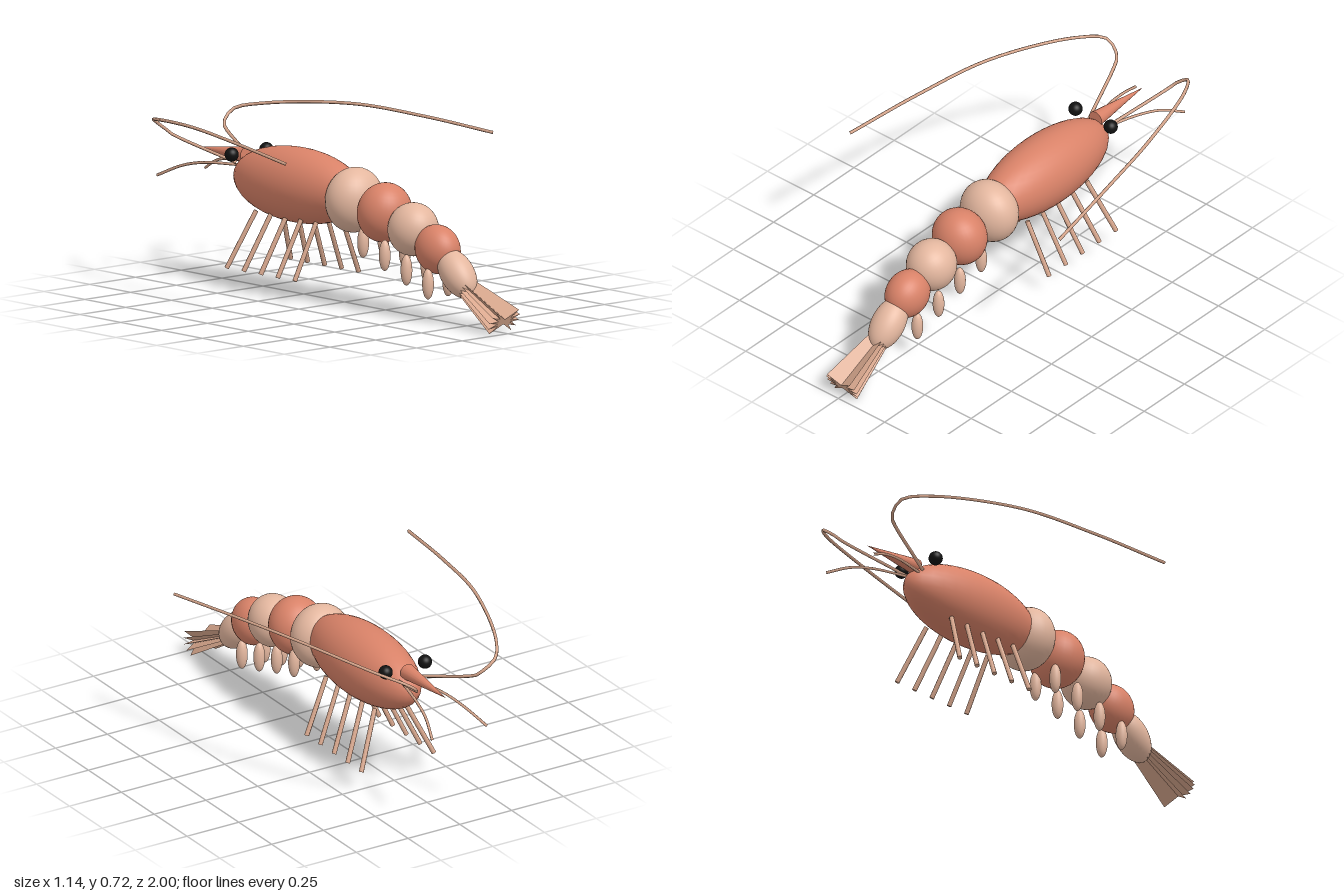
import * as THREE from 'three';

const mat = (color) => new THREE.MeshStandardMaterial({ color });
const coral = mat(0xd98268);
const pale = mat(0xe4b79f);
const limb = mat(0xd9a88e);
const black = mat(0x111111);
const fanMat = mat(0xd9a88e);
fanMat.flatShading = true;

const V = (p) => new THREE.Vector3(...p);

export function createModel() {
  const model = new THREE.Group();

  const add = (name, geometry, material, position = [0, 0, 0]) => {
    const mesh = new THREE.Mesh(geometry, material);
    mesh.name = name;
    mesh.position.set(...position);
    model.add(mesh);
    return mesh;
  };

  const ellipsoid = (name, material, position, radii, tilt = 0) => {
    const mesh = add(name, new THREE.SphereGeometry(1, 32, 20), material, position);
    mesh.scale.set(...radii);
    mesh.rotation.x = tilt;
    return mesh;
  };

  // Straight round rod between two points
  const rod = (name, from, to, r0, r1, material, sides = 8) => {
    const a = V(from), b = V(to), dir = b.clone().sub(a);
    const mesh = add(name, new THREE.CylinderGeometry(r1, r0, dir.length(), sides), material,
      a.clone().add(b).multiplyScalar(0.5).toArray());
    mesh.quaternion.setFromUnitVectors(new THREE.Vector3(0, 1, 0), dir.normalize());
    return mesh;
  };

  // Feeler along a curve, mirrored by side
  const feeler = (name, points, side, radius, segments) => {
    const curve = new THREE.CatmullRomCurve3(points.map(([x, y, z]) => new THREE.Vector3(x * side, y, z)), false, 'centripetal');
    add(name, new THREE.TubeGeometry(curve, segments, radius, 6), limb);
  };

  // Head shell and pointed beak
  ellipsoid('carapace', coral, [0, 0.457, -0.28], [0.14, 0.155, 0.37]);
  rod('rostrum', [0, 0.538, -0.6], [0, 0.535, -0.895], 0.034, 0, coral, 16);

  // Abdomen segments: z, y, half width, half height, half length, tilt
  [
    [0.06, 0.44, 0.13, 0.135, 0.108, 0.05],
    [0.245, 0.412, 0.117, 0.124, 0.11, 0.17],
    [0.42, 0.365, 0.103, 0.111, 0.108, 0.33],
    [0.57, 0.302, 0.086, 0.1, 0.105, 0.52],
    [0.69, 0.217, 0.07, 0.07, 0.117, 0.8],
  ].forEach(([z, y, rx, ry, rz, tilt], i) =>
    ellipsoid(`abdomenSegment${i + 1}`, i % 2 ? coral : pale, [0, y, z], [rx, ry, rz], tilt));

  // Tail fan: flat blades rolled around one sloping axis
  const tailFan = new THREE.Group();
  tailFan.name = 'tailFan';
  tailFan.position.set(0, 0.113, 0.858);
  tailFan.rotation.x = 0.455;
  for (let i = -2; i <= 2; i++) {
    const geometry = new THREE.CylinderGeometry(0.043, 0.08, 0.265, 4).rotateX(-Math.PI / 2).scale(1, 0.12, 1);
    const blade = new THREE.Mesh(geometry, fanMat);
    blade.name = 'tailBlade';
    blade.rotation.z = i * 0.35;
    tailFan.add(blade);
  }
  model.add(tailFan);

  for (const side of [1, -1]) {
    const label = side > 0 ? 'left' : 'right';

    ellipsoid(`${label}Eye`, black, [side * 0.095, 0.553, -0.585], [0.029, 0.029, 0.029]);

    // Walking legs, splayed outward
    for (let i = 0; i < 5; i++) {
      rod(`${label}Leg${i + 1}`,
        [side * 0.07, 0.335, -0.095 - i * 0.092],
        [side * 0.175, 0.1, -0.11 - i * 0.104], 0.01, 0.01, limb);
    }

    // Swimmerets below the abdomen
    [[0.285, 0.175], [0.248, 0.307], [0.205, 0.44], [0.165, 0.572]].forEach(([y, z], i) =>
      ellipsoid(`${label}Swimmeret${i + 1}`, pale, [side * 0.055, y, z], [0.024, 0.064, 0.024]));

    // Long swept-back antenna and short forward antennule
    feeler(`${label}Antenna`, [
      [0.045, 0.51, -0.61], [0.145, 0.605, -0.9], [0.155, 0.618, -0.912], [0.215, 0.663, -0.922],
      [0.29, 0.69, -0.82], [0.43, 0.722, -0.44], [0.505, 0.708, -0.08], [0.565, 0.68, 0.28],
    ], side, 0.007, 48);
    feeler(`${label}Antennule`, [
      [0.03, 0.5, -0.61], [0.07, 0.492, -0.78], [0.095, 0.468, -0.89], [0.132, 0.418, -1],
    ], side, 0.006, 20);
  }

  return model;
}
